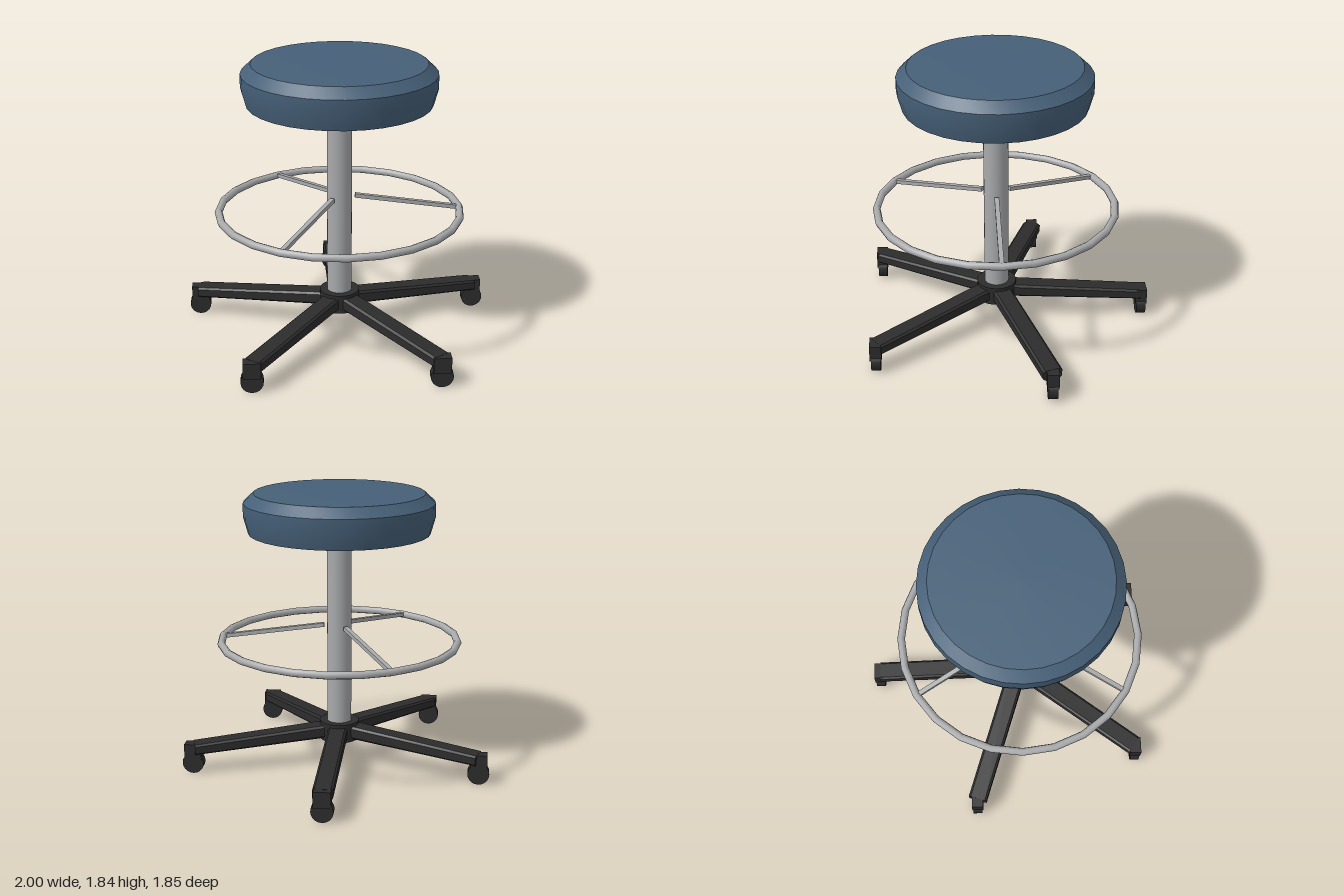
import * as THREE from 'three';
import { toCreasedNormals } from 'three/addons/utils/BufferGeometryUtils.js';

const AXIS_Z = 0.09; // the column stands slightly forward of the bounding box centre

function makeMaterial(name, color) {
  const m = new THREE.MeshStandardMaterial({ color });
  m.name = name;
  return m;
}

function addMesh(parent, name, geometry, material, x = 0, y = 0, z = 0) {
  const mesh = new THREE.Mesh(geometry, material);
  mesh.name = name;
  mesh.position.set(x, y, z);
  parent.add(mesh);
  return mesh;
}

// Bar with chamfered edges, running along +x, sloping down and thinning to the tip
function legGeometry(r0, r1) {
  const w = 0.063, h = 0.044, c = 0.014;
  const shape = new THREE.Shape([
    [w - c, -h], [w, -h + c], [w, h - c], [w - c, h],
    [-w + c, h], [-w, h - c], [-w, -h + c], [-w + c, -h],
  ].map(([x, y]) => new THREE.Vector2(x, y)));
  const geo = new THREE.ExtrudeGeometry(shape, { depth: r1 - r0, bevelEnabled: false });
  const p = geo.attributes.position;
  for (let i = 0; i < p.count; i++) {
    const t = p.getZ(i) / (r1 - r0);
    p.setY(i, p.getY(i) * (1 - 0.22 * t) + 0.233 - 0.066 * t);
  }
  geo.translate(0, 0, r0);
  geo.rotateY(Math.PI / 2);
  geo.computeVertexNormals();
  return geo;
}

export function createModel() {
  const upholstery = makeMaterial('blue upholstery', 0x466078);
  const metal = makeMaterial('grey metal', 0xa9aaac);
  const plastic = makeMaterial('black plastic', 0x2c2c2c);

  const model = new THREE.Group();
  model.name = 'swivelStool';
  const stool = new THREE.Group();
  stool.name = 'stool';
  stool.position.z = AXIS_Z;
  model.add(stool);

  // Cushion with a bevelled rim and very shallow dome
  const profile = [[0, 1.567], [0.585, 1.567], [0.615, 1.675], [0.615, 1.762], [0.55, 1.823], [0, 1.838]]
    .map(([r, y]) => new THREE.Vector2(r, y));
  addMesh(stool, 'seat', toCreasedNormals(new THREE.LatheGeometry(profile, 32), 0.5), upholstery);

  // Column
  addMesh(stool, 'column', new THREE.CylinderGeometry(0.08, 0.08, 1.35, 24), metal, 0, 0.9, 0);

  // Foot ring
  const ring = new THREE.TorusGeometry(0.775, 0.025, 8, 24);
  ring.rotateX(Math.PI / 2);
  addMesh(stool, 'footRing', ring, metal, 0, 0.85, 0);

  // Three sloping struts between column and ring
  const inner = new THREE.Vector2(0.1, 0.948), outer = new THREE.Vector2(0.77, 0.852);
  for (let i = 0; i < 3; i++) {
    const arm = new THREE.Group();
    arm.name = 'ringStrut' + (i + 1);
    arm.rotation.y = i * Math.PI * 2 / 3;
    const bar = addMesh(arm, 'strut', new THREE.BoxGeometry(inner.distanceTo(outer), 0.026, 0.03), metal,
      (inner.x + outer.x) / 2, (inner.y + outer.y) / 2, 0);
    bar.rotation.z = Math.atan2(outer.y - inner.y, outer.x - inner.x);
    stool.add(arm);
  }

  // Hub
  addMesh(stool, 'hub', new THREE.CylinderGeometry(0.13, 0.13, 0.125, 24), plastic, 0, 0.23, 0);

  // Five legs; the casters all roll in the same direction
  const leg = legGeometry(0.04, 0.975);
  const wheel = new THREE.CylinderGeometry(0.07, 0.07, 0.06, 20);
  wheel.rotateX(Math.PI / 2);
  const fork = new THREE.BoxGeometry(0.11, 0.105, 0.075);
  for (let i = 0; i < 5; i++) {
    const a = Math.PI / 2 + i * Math.PI * 2 / 5;
    addMesh(stool, 'leg' + (i + 1), leg, plastic).rotation.y = a;
    const caster = new THREE.Group();
    caster.name = 'caster' + (i + 1);
    caster.position.set(Math.cos(a) * 0.979, 0, -Math.sin(a) * 0.979);
    addMesh(caster, 'casterFork', fork, plastic, 0, 0.1475, 0);
    addMesh(caster, 'casterWheel', wheel, plastic, 0, 0.07, 0);
    stool.add(caster);
  }
  return model;
}
